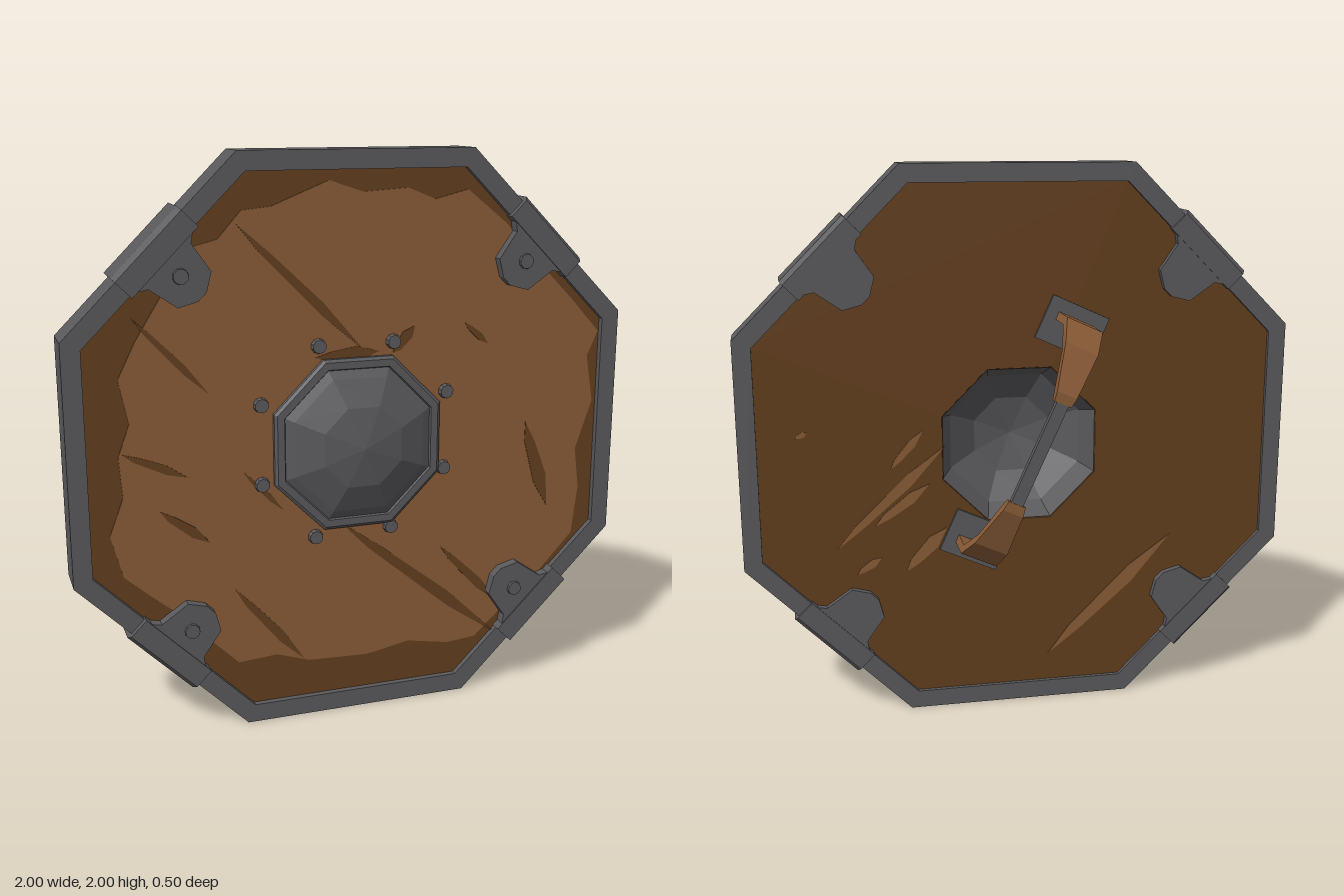
import * as THREE from 'three';

const mat = (name, color) => Object.assign(new THREE.MeshStandardMaterial({ color }), { name });

export function createModel() {
  const iron = mat('iron', 0x5a5a5d);
  const wood = mat('light wood', 0x8a5c37);
  const darkWood = mat('dark wood', 0x633f1e);

  const model = new THREE.Group();
  model.name = 'shield';
  const face = new THREE.Group(); // origin at the shield's centre
  face.name = 'face';
  face.position.y = 1;
  model.add(face);

  const add = (parent, name, geometry, material) => {
    const flat = geometry.index ? geometry.toNonIndexed() : geometry;
    flat.computeVertexNormals();
    const mesh = new THREE.Mesh(flat, material);
    mesh.name = name;
    parent.add(mesh);
    return mesh;
  };
  const pts = (list) => list.map(([x, y]) => new THREE.Vector2(x, y));
  const octagon = (apothem) => pts(Array.from({ length: 8 }, (_, i) => {
    const a = (i + 0.5) * Math.PI / 4, r = apothem / Math.cos(Math.PI / 8);
    return [r * Math.cos(a), r * Math.sin(a)];
  }));
  // Flat plate between two depths, with an optional hole
  const plate = (outline, z0, z1, hole) => {
    const shape = new THREE.Shape(outline);
    if (hole) shape.holes.push(new THREE.Path(hole));
    return new THREE.ExtrudeGeometry(shape, { depth: z1 - z0, bevelEnabled: false }).translate(0, 0, z0);
  };
  // Eight-sided turned part; profile is [apothem, z]
  const turned = (profile) => new THREE.LatheGeometry(
    pts(profile.map(([a, z]) => [a / Math.cos(Math.PI / 8), z])), 8)
    .rotateY(Math.PI / 8).rotateX(Math.PI / 2);

  // Rim and boards
  add(face, 'rim', plate(octagon(1), 0.025, 0.172, octagon(0.935)), iron);
  add(face, 'boards', plate(octagon(0.94), 0.04, 0.15, octagon(0.28)), darkWood);

  // Worn light surface with a ragged edge
  const worn = pts([
    [-0.76, 0.4], [-0.82, 0.28], [-0.79, 0.13], [-0.83, 0.02], [-0.82, -0.12], [-0.87, -0.25],
    [-0.83, -0.4], [-0.74, -0.48], [-0.62, -0.58], [-0.52, -0.69], [-0.44, -0.77], [-0.3, -0.76],
    [-0.18, -0.8], [0.04, -0.81], [0.2, -0.78], [0.36, -0.81], [0.47, -0.8], [0.6, -0.68],
    [0.72, -0.58], [0.86, -0.43], [0.88, -0.25], [0.86, -0.1], [0.92, 0.08], [0.89, 0.25],
    [0.93, 0.34], [0.82, 0.46], [0.68, 0.6], [0.55, 0.74], [0.4, 0.86], [0.28, 0.83], [0.18, 0.87],
    [0.02, 0.86], [-0.1, 0.9], [-0.3, 0.82], [-0.4, 0.81], [-0.48, 0.72], [-0.56, 0.7], [-0.66, 0.56],
  ]);
  add(face, 'wornSurface', plate(worn, 0.149, 0.154, octagon(0.28)), wood);

  // Tapered grain streaks: x0, y0, x1, y1, width
  const streak = (name, [x0, y0, x1, y1, w], z, material) => {
    const dx = x1 - x0, dy = y1 - y0, l = Math.hypot(dx, dy);
    const at = (t, s) => [x0 + dx * t - dy / l * s * w, y0 + dy * t + dx / l * s * w];
    const outline = pts([at(0, 0), at(0.2, -0.4), at(0.7, -0.5), at(1, 0), at(0.65, 0.5), at(0.25, 0.3)]);
    add(face, name, plate(outline, z, z + 0.004), material);
  };
  [
    [-0.42, 0.77, 0.02, 0.33, 0.035], [-0.77, 0.48, -0.52, 0.21, 0.025], [-0.41, -0.07, -0.27, -0.22, 0.02],
    [-0.07, -0.28, 0.56, -0.8, 0.045], [0.13, 0.31, 0.21, 0.4, 0.04], [-0.7, -0.18, -0.53, -0.31, 0.035],
    [-0.45, -0.49, -0.2, -0.79, 0.035], [0.65, 0.02, 0.75, -0.31, 0.055], [0.4, 0.4, 0.49, 0.32, 0.025],
    [-0.82, 0.03, -0.6, -0.07, 0.03], [-0.15, 0.31, 0.08, 0.32, 0.05], [0.32, -0.42, 0.56, -0.67, 0.035],
  ].forEach((s) => streak('frontGrain', s, 0.152, darkWood));
  [
    [-0.11, -0.83, -0.58, -0.38, 0.055], [0.67, -0.36, 0.27, 0.01, 0.04], [0.53, -0.28, 0.33, -0.13, 0.04],
    [0.47, -0.07, 0.35, 0.07, 0.03], [0.42, -0.46, 0.27, -0.3, 0.05], [0.6, -0.46, 0.51, -0.4, 0.03],
    [0.8, 0.06, 0.76, 0.08, 0.02],
  ].forEach((s) => streak('backGrain', s, 0.037, wood));

  // Central boss, hollow from behind
  add(face, 'bossRing', turned([[0.303, 0.14], [0.303, 0.17], [0.293, 0.177], [0.268, 0.177], [0.262, 0.165]]), iron);
  add(face, 'bossDome', turned([[0.27, 0.166], [0.235, 0.185], [0.14, 0.225], [0, 0.247]]), iron);
  add(face, 'bossHollow', turned([[0, 0.23], [0.14, 0.2], [0.24, 0.13], [0.283, 0.038]]), iron)
    .geometry.index;
  const hollow = face.getObjectByName('bossHollow');
  hollow.geometry = turned([[0, 0.23], [0.14, 0.2], [0.24, 0.13], [0.283, 0.038]]).toNonIndexed();
  hollow.geometry.computeVertexNormals();

  // Round studs about the boss
  const stud = (parent, x, y, z, r) => {
    const g = new THREE.CylinderGeometry(r * 0.85, r, 0.025, 10).rotateX(Math.PI / 2).translate(x, y, z);
    add(parent, 'stud', g, iron);
  };
  [[-0.14, 0.35], [0.13, 0.35], [0.33, 0.16], [0.325, -0.12], [0.125, -0.32], [-0.155, -0.33],
    [-0.345, -0.12], [-0.345, 0.16]].forEach(([x, y]) => stud(face, x, y, 0.16, 0.028));

  // Clamps over the four slanted edges; local +x points outwards
  const tab = pts([[1, -0.15], [1, 0.15], [0.945, 0.15], [0.91, 0.1], [0.8, 0.08], [0.765, 0.02],
    [0.765, -0.02], [0.8, -0.08], [0.91, -0.1], [0.945, -0.15]]);
  const band = pts([[0.93, 0.012], [1.005, 0.012], [1.02, 0.03], [1.02, 0.17], [1.005, 0.195], [0.93, 0.195]]);
  for (let i = 0; i < 4; i++) {
    const clamp = new THREE.Group();
    clamp.name = 'edgeClamp';
    clamp.rotation.z = Math.PI / 4 + i * Math.PI / 2;
    face.add(clamp);
    add(clamp, 'clampBand', plate(band, -0.155, 0.155).rotateX(Math.PI / 2), iron);
    add(clamp, 'clampFrontTab', plate(tab, 0.15, 0.19), iron);
    add(clamp, 'clampBackTab', plate(tab, 0.015, 0.045), iron);
    stud(clamp, 0.863, 0, 0.187, 0.03);
  }

  // Slanted handle behind: two leather straps joined by an iron grip
  const handle = new THREE.Group();
  handle.name = 'handle';
  handle.position.set(-0.015, 0.035, 0);
  handle.rotation.z = 0.428;
  face.add(handle);
  const side = pts([[0.46, 0.04], [0.43, 0.04], [0.43, -0.09], [0.355, -0.165], [0.19, -0.222],
    [0.19, -0.25], [0.225, -0.25], [0.385, -0.185], [0.46, -0.1]]);
  const swap = new THREE.Matrix4().makeBasis(
    new THREE.Vector3(0, 1, 0), new THREE.Vector3(0, 0, 1), new THREE.Vector3(1, 0, 0));
  for (const turn of [0, Math.PI]) {
    const strapGeo = plate(side, -0.5, 0.5).applyMatrix4(swap);
    const p = strapGeo.attributes.position;
    for (let i = 0; i < p.count; i++) { // narrow towards the grip
      const k = THREE.MathUtils.clamp((0.43 - p.getY(i)) / 0.24, 0, 1);
      p.setX(i, p.getX(i) * (0.14 - 0.075 * k));
    }
    add(handle, 'strap', strapGeo, wood).rotation.z = turn;
    const foot = new THREE.BoxGeometry(0.225, 0.165, 0.015).translate(0, 0.425, 0.035);
    add(handle, 'strapPlate', foot, iron).rotation.z = turn;
  }
  add(handle, 'grip', new THREE.BoxGeometry(0.045, 0.42, 0.026).translate(0, 0, -0.235), iron);

  return model;
}
